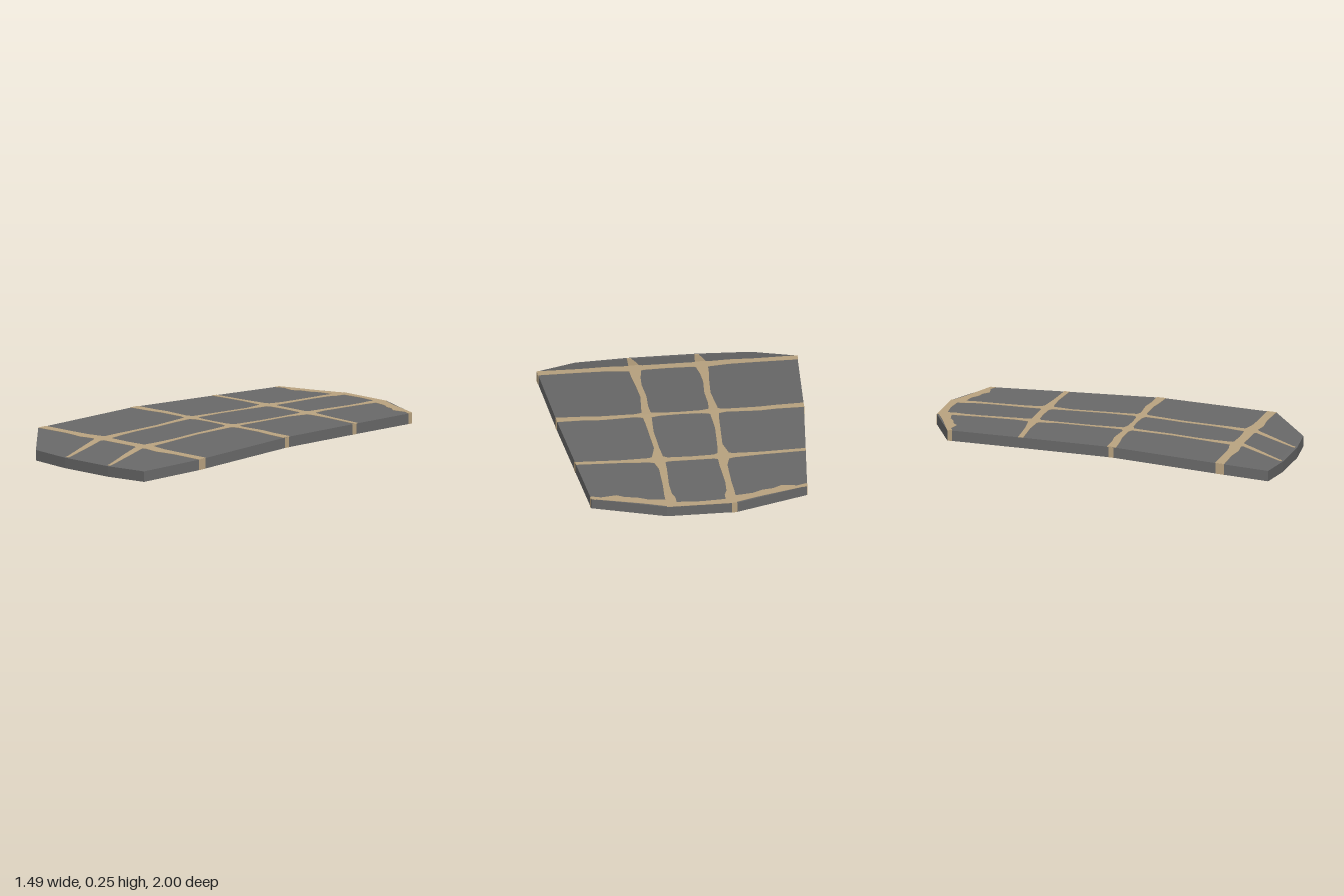
import * as THREE from 'three';

const SKIRT = 0.06;  // height of the rim around the shell
const SKIN = 0.002;  // how far painted plates stand proud, above and below

// Linear interpolation through [position, value] knots
function lerpKnots(knots, t) {
  let i = 0;
  while (i < knots.length - 2 && t > knots[i + 1][0]) i++;
  const [a, va] = knots[i], [b, vb] = knots[i + 1];
  return va + (vb - va) * (THREE.MathUtils.clamp(t, a, b) - a) / (b - a);
}

// Bent top profile (with a slight sideways tilt) and half width of the panel, along z
const PROFILE = [[-1, 0.251], [-0.855, 0.248], [-0.41, 0.231], [0.11, 0.209], [0.77, 0.144], [0.975, 0.066], [1, 0.061]];
const OUTLINE = [[-1, 0.2], [-0.855, 0.615], [-0.41, 0.657], [0.11, 0.705], [0.77, 0.742], [0.975, 0.5], [1, 0.2]];
const topY = (x, z) => lerpKnots(PROFILE, z) - 0.005 * x;
const halfWidth = z => lerpKnots(OUTLINE, z);

// Slab over a grid of [x, z] points (rows run +z, columns +x), following the profile.
// A hollow slab has a top and a rim but no floor.
function slab(name, rows, lift, depth, material, hollow = false) {
  const pos = [];
  const up = ([x, z]) => [x, topY(x, z) + lift, z];
  const down = ([x, z]) => [x, topY(x, z) + lift - depth, z];
  const quad = (a, b, c, d) => pos.push(...a, ...b, ...c, ...a, ...c, ...d);
  const wall = (p, q) => quad(up(p), down(p), down(q), up(q));
  const m = rows.length - 1, n = rows[0].length - 1;
  for (let i = 0; i < m; i++) {
    for (let j = 0; j < n; j++) {
      const a = rows[i][j], b = rows[i + 1][j], c = rows[i + 1][j + 1], d = rows[i][j + 1];
      quad(up(a), up(b), up(c), up(d));
      if (!hollow) quad(down(a), down(d), down(c), down(b));
    }
    wall(rows[i][0], rows[i + 1][0]);
    wall(rows[i + 1][n], rows[i][n]);
  }
  for (let j = 0; j < n; j++) {
    wall(rows[m][j], rows[m][j + 1]);
    wall(rows[0][j + 1], rows[0][j]);
  }
  const geo = new THREE.BufferGeometry();
  geo.setAttribute('position', new THREE.Float32BufferAttribute(pos, 3));
  geo.computeVertexNormals();
  const mesh = new THREE.Mesh(geo, material);
  mesh.name = name;
  return mesh;
}

// Mirrors a half list of [x, z0, z1], starting at x = 0, to the other side
const mirrored = half => [...half.slice(1).reverse().map(([x, a, b]) => [-x, a, b]), ...half];

export function createModel() {
  const group = new THREE.Group();
  group.name = 'bentPanel';
  const grey = new THREE.MeshStandardMaterial({ color: 0x686868, side: THREE.DoubleSide });
  grey.name = 'slate grey';
  const tan = new THREE.MeshStandardMaterial({ color: 0xb8a27f });
  tan.name = 'sand tan';
  const plate = (name, rows) => group.add(slab(name, rows, SKIN, 2 * SKIN, tan));

  // Open shell: bent top with a rim all round
  group.add(slab('panelShell', OUTLINE.map(([z, w]) => [[-w, z], [w, z]]), 0, SKIRT, grey, true));

  // Lengthwise seams: [z, inner x, outer x]
  const seam = [
    [-1, 0.14, 0.2], [-0.9, 0.14, 0.2], [-0.855, 0.155, 0.2], [-0.75, 0.16, 0.195],
    [-0.55, 0.15, 0.195], [-0.45, 0.15, 0.22], [-0.41, 0.155, 0.22], [-0.3, 0.165, 0.195],
    [-0.1, 0.175, 0.205], [0, 0.17, 0.21], [0.11, 0.165, 0.22], [0.22, 0.17, 0.21],
    [0.35, 0.165, 0.2], [0.5, 0.175, 0.21], [0.6, 0.17, 0.22], [0.7, 0.155, 0.225],
    [0.77, 0.16, 0.22], [0.85, 0.165, 0.215], [0.975, 0.18, 0.205], [0.99, 0.18, 0.205],
  ];
  for (const s of [-1, 1]) {
    plate(s > 0 ? 'leftSeam' : 'rightSeam',
      seam.map(([z, a, b]) => s > 0 ? [[a, z], [b, z]] : [[-b, z], [-a, z]]));
  }

  // Crosswise seams folded over each crease: [x, rear z, front z], x = 1 means the panel edge
  const crossSeams = [
    ['frontCrossSeam', 0.77, [[0, 0.71, 0.763], [0.14, 0.705, 0.763], [0.19, 0.68, 0.785],
      [0.24, 0.7, 0.765], [0.35, 0.715, 0.775], [0.5, 0.718, 0.765], [1, 0.718, 0.77]]],
    ['middleCrossSeam', 0.11, [[0, 0.09, 0.115], [0.12, 0.085, 0.12], [0.19, 0.065, 0.14],
      [0.26, 0.085, 0.12], [0.45, 0.075, 0.12], [0.55, 0.085, 0.13], [1, 0.085, 0.138]]],
    ['rearCrossSeam', -0.41, [[0, -0.465, -0.425], [0.13, -0.465, -0.42], [0.18, -0.49, -0.39],
      [0.24, -0.465, -0.415], [0.4, -0.45, -0.42], [1, -0.438, -0.408]]],
  ];
  for (const [name, crease, half] of crossSeams) {
    const cols = mirrored(half);
    const point = (x, z) => [Math.sign(x) * Math.min(Math.abs(x), halfWidth(z)), z];
    plate(name, [
      cols.map(([x, a]) => point(x, a)),
      cols.map(([x, a, b]) => point(x, THREE.MathUtils.clamp(crease, a, b))),
      cols.map(([x, , b]) => point(x, b)),
    ]);
  }

  // Band along the rear edge
  const band = mirrored([[0, -1, -0.96], [0.14, -1, -0.95], [0.2, -0.99, -0.915], [0.3, -0.953, -0.9],
    [0.36, -0.933, -0.87], [0.42, -0.915, -0.86], [0.47, -0.9, -0.83], [0.56, -0.873, -0.845], [0.615, -0.856, -0.825]]);
  plate('rearBand', [band.map(([x, a]) => [x, a]), band.map(([x, , b]) => [x, b])]);

  // Seam ends running down the rim: [name, side, rear z, front z]
  const rimMarks = [['rearRimMark', 1, -0.425, -0.395]];
  for (const s of [-1, 1]) {
    rimMarks.push(['frontRimMark', s, 0.72, 0.769], ['middleRimMark', s, 0.096, 0.125], ['cornerRimMark', s, -0.853, -0.828]);
  }
  for (const [name, s, z0, z1] of rimMarks) {
    const rows = [z0, z1].map(z => {
      const x = s * halfWidth(z);
      return [[x - SKIN, z], [x + SKIN, z]];
    });
    group.add(slab(name, rows, 0, SKIRT, tan));
  }

  // Small mark on the rear rim
  group.add(slab('backRimMark', [[[-0.2, -1.002], [-0.17, -1.002]], [[-0.2, -0.998], [-0.17, -0.998]]], 0, SKIRT, tan));
  return group;
}
